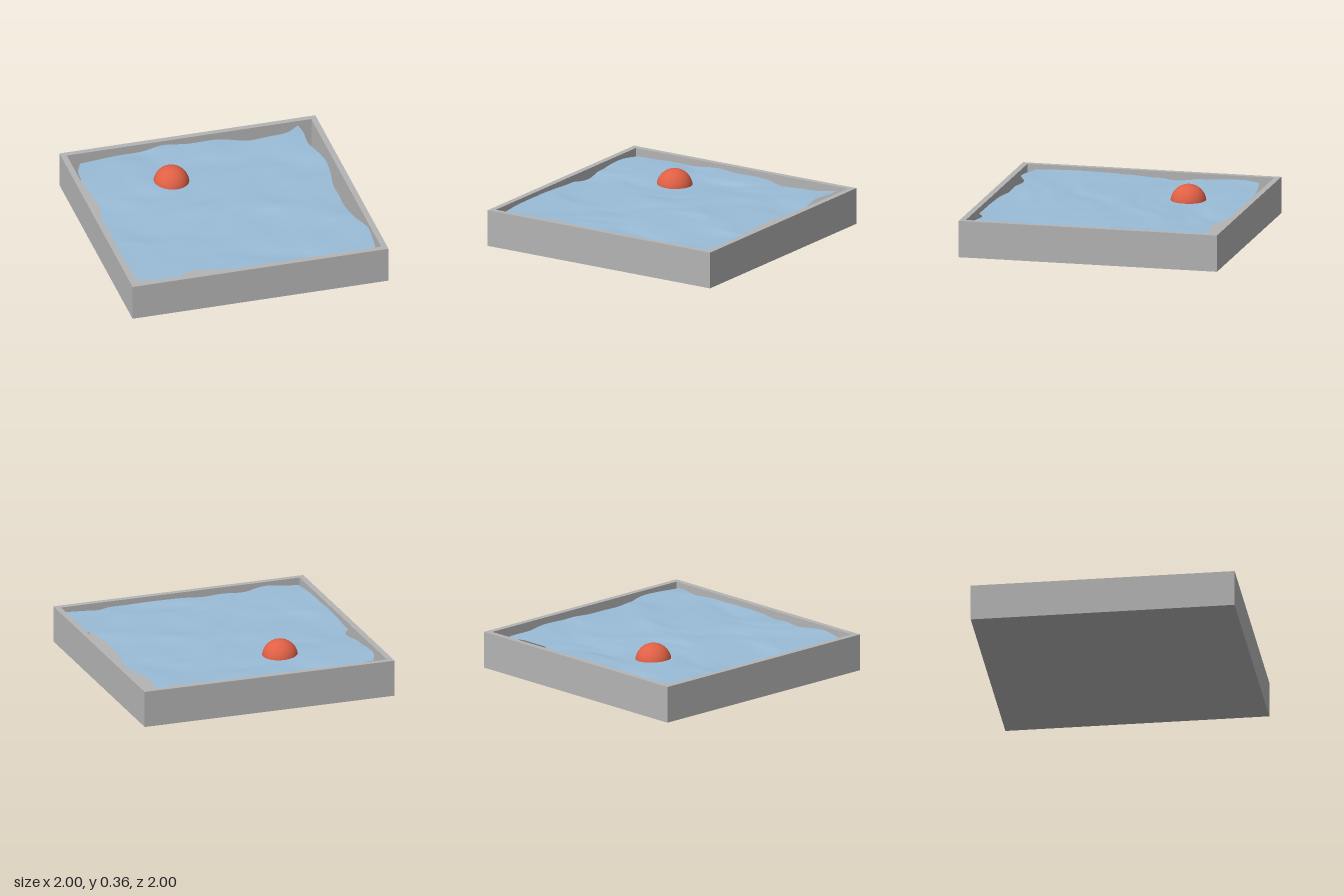
import * as THREE from 'three';

const mat = (name, color) => new THREE.MeshStandardMaterial({ name, color });

// Smooth curve through flat [x, z, x, z, ...] points
function edge(p) {
  const pts = [];
  for (let i = 0; i < p.length; i += 2) pts.push(new THREE.Vector3(p[i], 0, p[i + 1]));
  return new THREE.CatmullRomCurve3(pts);
}

// Ragged outline of the water sheet
const back = edge([-0.88, -0.86, -0.7, -0.89, -0.55, -0.91, -0.35, -0.92, -0.2, -0.955, 0, -0.92,
  0.25, -0.915, 0.37, -0.875, 0.45, -0.85, 0.6, -0.855, 0.74, -0.87, 0.85, -0.955]);
const front = edge([-0.92, 0.88, -0.67, 0.93, -0.48, 0.865, -0.3, 0.895, -0.15, 0.9, -0.05, 0.925,
  0.35, 0.95, 0.55, 0.95, 0.68, 0.9, 0.85, 0.95, 0.92, 0.955]);
const right = edge([0.85, -0.955, 0.86, -0.85, 0.85, -0.67, 0.88, -0.55, 0.91, -0.4, 0.9, -0.25,
  0.865, -0.03, 0.87, 0.13, 0.865, 0.23, 0.89, 0.4, 0.95, 0.6, 0.945, 0.75, 0.92, 0.955]);
const left = edge([-0.88, -0.86, -0.925, -0.75, -0.935, -0.65, -0.92, -0.4, -0.9, -0.22, -0.92, -0.15,
  -0.955, -0.1, -0.955, 0.35, -0.945, 0.42, -0.94, 0.7, -0.92, 0.88]);

// Ripples: direction x, direction z, phase, height
const waves = [
  [2.1, 3.4, 0.4, 0.006], [-3.2, 5.1, 1.9, 0.004], [5.5, 8.3, 3.1, 0.003],
  [-4.1, 13.2, 0.7, 0.002], [9.7, 15.1, 2.2, 0.0015], [15.3, -7.9, 4.4, 0.0012], [8.2, 27.5, 5.2, 0.0008],
];
function waterHeight(x, z) {
  const bend = 0.1 * Math.sin(5 * x + 2 * z) + 0.06 * Math.sin(9 * z - 4 * x);
  return waves.reduce((y, [a, b, p, h]) => y + h * Math.sin(a * x + b * (z + bend) + p), 0.245);
}

// Sheet blended between its four edges
function waterGeometry(n) {
  const geo = new THREE.PlaneGeometry(1, 1, n, n).rotateX(-Math.PI / 2);
  const row = (c) => c.getSpacedPoints(n);
  const B = row(back), F = row(front), L = row(left), R = row(right);
  const pos = geo.attributes.position;
  for (let j = 0; j <= n; j++) {
    for (let i = 0; i <= n; i++) {
      const u = i / n, v = j / n;
      const blend = (k) =>
        (1 - v) * B[i][k] + v * F[i][k] + (1 - u) * L[j][k] + u * R[j][k]
        - (1 - u) * (1 - v) * B[0][k] - u * (1 - v) * B[n][k]
        - (1 - u) * v * F[0][k] - u * v * F[n][k];
      const x = THREE.MathUtils.clamp(blend('x'), -0.957, 0.957);
      const z = THREE.MathUtils.clamp(blend('z'), -0.957, 0.957);
      pos.setXYZ(j * (n + 1) + i, x, waterHeight(x, z), z);
    }
  }
  geo.computeVertexNormals();
  return geo;
}

function square(Type, h) {
  return new Type([[-h, -h], [h, -h], [h, h], [-h, h]].map(([x, y]) => new THREE.Vector2(x, y)));
}

export function createModel() {
  const group = new THREE.Group();
  const grey = mat('tray grey', 0xb4b4b4);
  const blue = mat('water blue', 0x9abcd8);
  blue.side = THREE.DoubleSide;
  const red = mat('ball red', 0xe06045);

  const add = (name, geo, material) => {
    const mesh = new THREE.Mesh(geo, material);
    mesh.name = name;
    group.add(mesh);
    return mesh;
  };

  // Open tray: floor and square rim
  const floor = 0.045;
  add('trayFloor', new THREE.BoxGeometry(2, floor, 2), grey).position.y = floor / 2;
  const rim = square(THREE.Shape, 1);
  rim.holes.push(square(THREE.Path, 0.955));
  const walls = new THREE.ExtrudeGeometry(rim, { depth: 0.28 - floor, bevelEnabled: false });
  add('trayWalls', walls.rotateX(-Math.PI / 2), grey).position.y = floor;

  // Rippled water sheet
  add('water', waterGeometry(100), blue);

  // Floating ball
  add('ball', new THREE.SphereGeometry(0.136, 48, 32), red).position.set(-0.28, 0.22, -0.46);

  return group;
}
